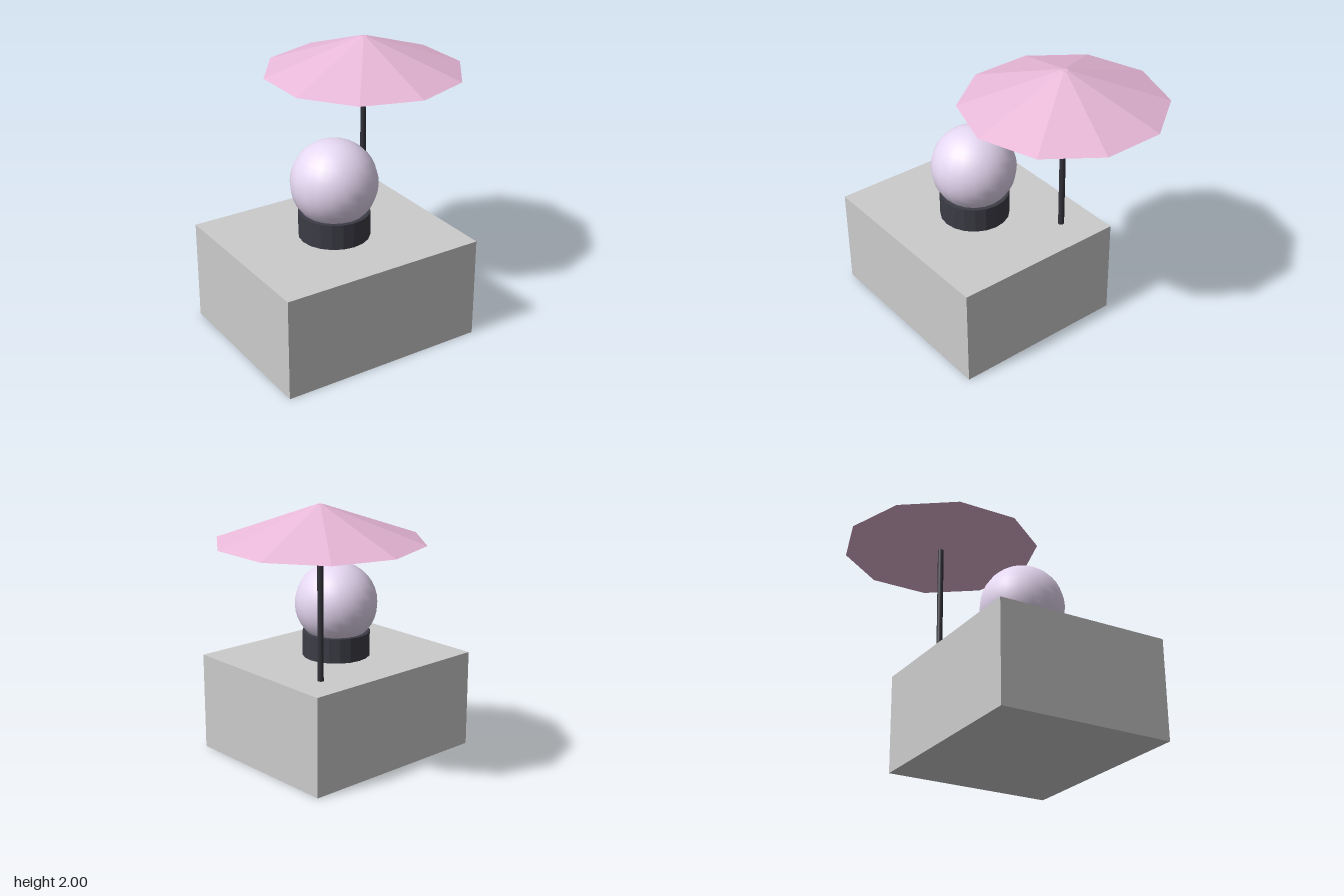
import * as THREE from 'three';

export function createModel() {
  const model = new THREE.Group();
  const mat = (color, flatShading = false) => new THREE.MeshStandardMaterial({ color, flatShading });

  function add(name, geometry, material, x, y, z) {
    const mesh = new THREE.Mesh(geometry, material);
    mesh.name = name;
    mesh.position.set(x, y, z);
    model.add(mesh);
  }

  // Cylinder or cone frustum standing between two heights
  function addRound(name, rTop, rBottom, y0, y1, sides, material, x, z) {
    const geometry = new THREE.CylinderGeometry(rTop, rBottom, y1 - y0, sides);
    add(name, geometry, material, x, (y0 + y1) / 2, z);
  }

  // Block that carries everything
  add('baseBlock', new THREE.BoxGeometry(1.53, 0.74, 1.3), mat(0xcccccc), -0.225, 0.37, 0.24);

  // Ball resting in a dark ring-shaped stand
  const ballX = -0.225, ballZ = 0.243;
  addRound('ballStand', 0.255, 0.255, 0.74, 0.925, 20, mat(0x3c3c46, true), ballX, ballZ);
  add('ball', new THREE.SphereGeometry(0.31, 20, 18), mat(0xe6d8f2), ballX, 1.14, ballZ);

  // Parasol: thin pole and ten-sided canopy with a closed underside
  const poleX = 0.285, poleZ = -0.157;
  addRound('parasolPole', 0.022, 0.022, 0.74, 1.76, 10, mat(0x32323a), poleX, poleZ);
  addRound('parasolCanopy', 0.025, 0.735, 1.745, 2, 10, mat(0xe8b8d8, true), poleX, poleZ);

  return model;
}
